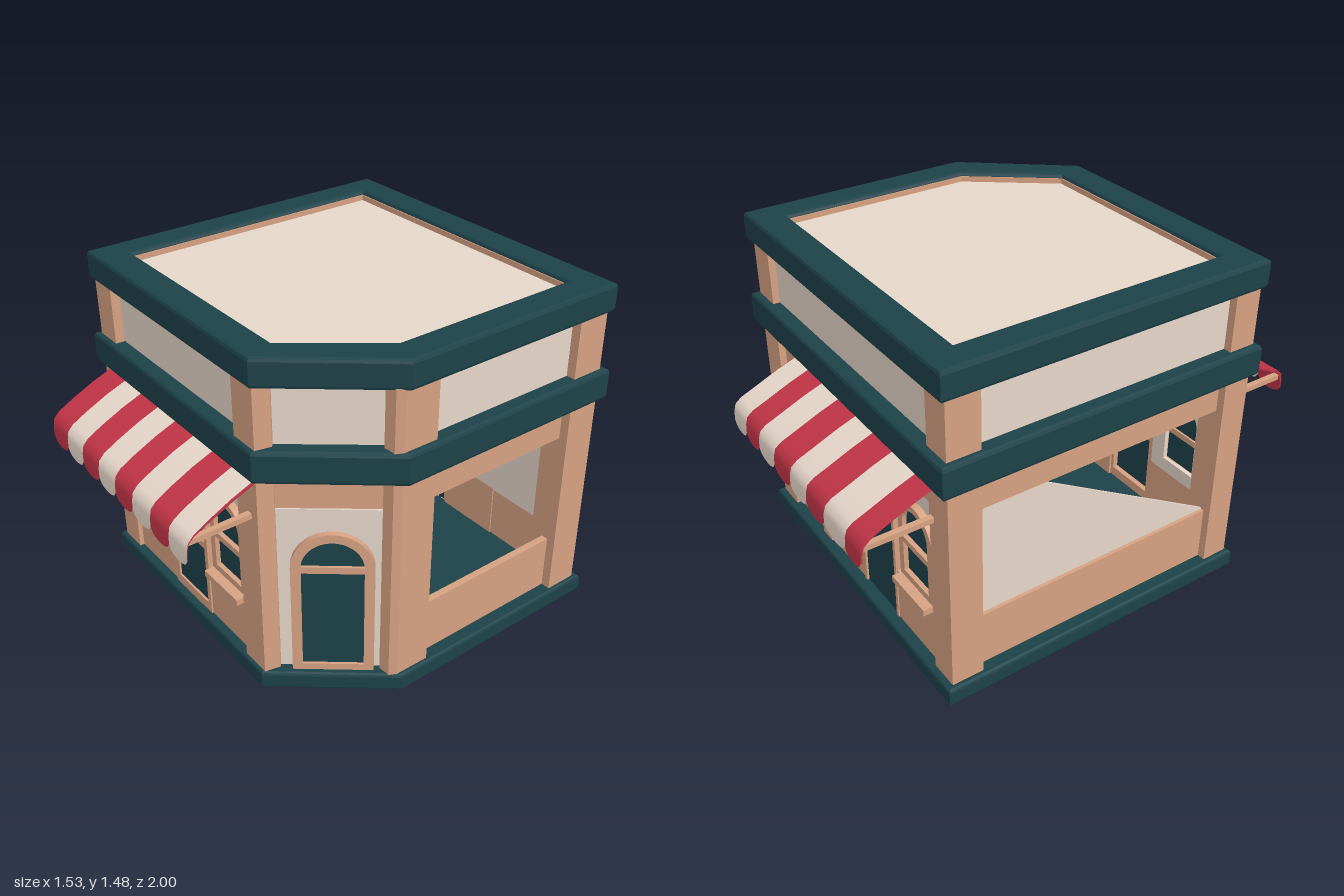
import * as THREE from 'three';

const material = (name, color, side = THREE.FrontSide) => {
  const m = new THREE.MeshStandardMaterial({ color, side });
  m.name = name;
  return m;
};

export function createModel() {
  const teal = material('dark teal', 0x1d4249);
  const wood = material('warm tan', 0xd6a182);
  const cream = material('cream', 0xe6d6c9, THREE.DoubleSide);
  const red = material('awning red', 0xc03446, THREE.DoubleSide);
  const model = new THREE.Group();
  model.name = 'cornerShop';

  const add = (parent, name, geometry, mat) => {
    const mesh = new THREE.Mesh(geometry, mat);
    mesh.name = name;
    parent.add(mesh);
    return mesh;
  };
  // Box given by its limits on each axis
  const block = (parent, name, mat, x0, x1, y0, y1, z0, z1) =>
    add(parent, name, new THREE.BoxGeometry(x1 - x0, y1 - y0, z1 - z0), mat)
      .position.set((x0 + x1) / 2, (y0 + y1) / 2, (z0 + z1) / 2);

  // Floor plan with one cut corner, inset by d
  const outline = d => [
    [-0.76 + d, 0.72 - d], [0.41 - 0.41 * d, 0.72 - d], [0.76 - d, 0.29 - 0.41 * d],
    [0.76 - d, -0.73 + d], [-0.76 + d, -0.73 + d],
  ];
  const toPoints = plan => plan.map(([x, z]) => new THREE.Vector2(x, -z));
  // Upright prism over a plan, with an optional hole and rounded edges
  const prism = (name, mat, plan, y0, y1, bevel = 0, hole = null) => {
    const shape = new THREE.Shape(toPoints(plan));
    if (hole) shape.holes.push(new THREE.Path(toPoints(hole).reverse()));
    const g = new THREE.ExtrudeGeometry(shape, {
      depth: y1 - y0 - 2 * bevel, bevelEnabled: bevel > 0, bevelSize: bevel,
      bevelThickness: bevel, bevelOffset: -bevel, bevelSegments: 2,
    });
    g.rotateX(-Math.PI / 2).translate(0, y0 + bevel, 0);
    return add(model, name, g, mat);
  };

  // Horizontal bands, roof and upper storey
  prism('base', teal, outline(0), 0, 0.08, 0.012);
  prism('middleBand', teal, outline(-0.003), 0.98, 1.115, 0.015);
  prism('roofRim', teal, outline(0.006), 1.36, 1.48, 0.015, outline(0.139));
  prism('roofRimLining', wood, outline(0.13), 1.4, 1.463, 0, outline(0.144));
  prism('roof', cream, outline(0.12), 1.41, 1.44);
  prism('upperWalls', cream, outline(0.06), 1.1, 1.4);
  prism('lintel', wood, outline(0.06), 0.83, 0.99, 0, outline(0.1));

  // Corner pillars through both storeys
  const pillars = [
    [[-0.735, 0.7], [-0.61, 0.7], [-0.61, 0.58], [-0.735, 0.58]],
    [[-0.735, -0.7], [-0.61, -0.7], [-0.61, -0.56], [-0.735, -0.56]],
    [[0.74, -0.7], [0.61, -0.7], [0.61, -0.555], [0.74, -0.555]],
    [[0.28, 0.705], [0.41, 0.705], [0.425, 0.64], [0.36, 0.58], [0.28, 0.58]],
    [[0.74, 0.15], [0.738, 0.3], [0.72, 0.33], [0.67, 0.335], [0.63, 0.26], [0.63, 0.15]],
  ];
  pillars.forEach(plan => prism('pillar', wood, plan, 0.07, 1.37));

  // Side walls with open windows
  block(model, 'rightLowWall', wood, 0.67, 0.7, 0.07, 0.325, -0.58, 0.18);
  block(model, 'leftLowWall', wood, -0.7, -0.67, 0.07, 0.325, -0.58, 0.6);
  const pane = new THREE.ExtrudeGeometry(new THREE.Shape([[-0.58, 0.325], [0.59, 0.325],
    [-0.28, 0.835], [-0.58, 0.835]].map(p => new THREE.Vector2(-p[0], p[1]))),
  { depth: 0.008, bevelEnabled: false });
  add(model, 'leftPane', pane.rotateY(Math.PI / 2).translate(-0.685, 0, 0), cream);

  // Narrow bay at the back
  block(model, 'backBayWall', cream, 0.27, 0.62, 0.32, 0.84, -0.655, -0.635);
  block(model, 'backBayLowWall', wood, 0.27, 0.62, 0.07, 0.325, -0.675, -0.64);
  block(model, 'backPost', wood, 0.28, 0.36, 0.07, 0.47, -0.69, -0.64);

  // Round-topped and rectangular outlines for openings
  const trace = (path, cx, half, y0, y1, arched) => {
    const spring = arched ? y1 - half : y1;
    path.moveTo(cx - half, y0);
    path.lineTo(cx + half, y0);
    path.lineTo(cx + half, spring);
    if (arched) path.absarc(cx, spring, half, 0, Math.PI, false);
    else path.lineTo(cx - half, y1);
    path.lineTo(cx - half, y0);
    return path;
  };
  // Upright plate; each outline is [cx, half, y0, y1, arched]
  const plate = (parent, name, mat, outer, holes, z, depth) => {
    const shape = trace(new THREE.Shape(), ...outer);
    holes.forEach(h => shape.holes.push(trace(new THREE.Path(), ...h)));
    const g = new THREE.ExtrudeGeometry(shape, { depth, bevelEnabled: false, curveSegments: 16 });
    add(parent, name, g.translate(0, 0, z), mat);
  };

  // Shop front: door between two arched windows, facing local +z
  const shopFront = (name, z, turn, framedDoor) => {
    const front = new THREE.Group();
    front.name = name;
    front.position.set(-0.16, 0, z);
    front.rotation.y = turn;
    model.add(front);
    for (const s of [-1, 1]) {
      const cx = s * 0.305;
      const glass = [cx, 0.09, 0.385, 0.715, true];
      plate(front, 'windowWall', cream, [s * 0.295, 0.155, 0.32, 0.84, false], [glass], 0, 0.02);
      plate(front, 'windowFrame', wood, [cx, 0.122, 0.335, 0.742, true], [glass], 0.015, 0.035);
      plate(front, 'windowGlass', teal, glass, [], 0.022, 0.008);
      block(front, 'windowBar', wood, cx - 0.1, cx + 0.1, 0.527, 0.554, 0.012, 0.05);
      block(front, 'windowSill', wood, cx - 0.118, cx + 0.118, 0.327, 0.355, 0.02, 0.092);
      block(front, 'lowPanel', wood, s * 0.295 - 0.155, s * 0.295 + 0.155, 0.07, 0.325, 0, 0.045);
    }
    block(front, 'overDoor', cream, -0.145, 0.145, 0.73, 0.84, 0, 0.02);
    if (framedDoor) {
      const panes = [[0.008, 0.116, 0.125, 0.408, false], [0.008, 0.116, 0.438, 0.73, false]];
      plate(front, 'doorFrame', wood, [0.005, 0.142, 0.07, 0.752, false], panes, 0.01, 0.042);
      panes.forEach(p => plate(front, 'doorGlass', teal, p, [], 0.035, 0.008));
    } else {
      plate(front, 'doorFrame', wood, [0, 0.142, 0.07, 0.752, false],
        [[0, 0.125, 0.08, 0.735, false]], 0.01, 0.04);
      block(front, 'doorLeaf', teal, -0.128, 0.128, 0.075, 0.738, 0.015, 0.04);
    }
  };
  shopFront('shopFront', 0.635, 0, true);
  shopFront('shopBack', -0.635, Math.PI, false);

  // Arched entrance on the cut corner
  const corner = new THREE.Group();
  corner.name = 'cornerEntrance';
  corner.position.set(0.546, 0, 0.469);
  corner.rotation.y = 0.89;
  model.add(corner);
  const doorHole = [0, 0.12, 0.11, 0.705, true];
  plate(corner, 'cornerWall', cream, [0, 0.22, 0.07, 0.84, false], [doorHole], -0.02, 0.02);
  plate(corner, 'cornerDoorFrame', wood, [0, 0.16, 0.08, 0.742, true], [doorHole], -0.01, 0.035);
  plate(corner, 'cornerDoorGlass', teal, doorHole, [], 0.006, 0.008);
  block(corner, 'cornerDoorBar', wood, -0.125, 0.125, 0.562, 0.592, -0.01, 0.025);

  // Striped awnings with a scalloped hem; profile is [z, y, shear]
  const profile = [[0.69, 0.985, 0], [0.8, 0.943, 0.002], [0.9, 0.897, 0.005],
    [0.965, 0.865, 0.01], [0.99, 0.842, 0.013], [0.998, 0.81, 0.015]];
  const stripe = (x0, width, side) => {
    const n = 10, pos = [], index = [];
    for (let i = 0; i <= n; i++) {
      const u = i / n, x = x0 + u * width;
      profile.forEach(([z, y, shear]) => pos.push(x + shear, y, z * side));
      pos.push(x + 0.016, 0.77 - 0.033 * Math.sqrt(1 - (2 * u - 1) ** 2), side);
    }
    const rows = profile.length + 1;
    for (let i = 0; i < n; i++) for (let j = 0; j < rows - 1; j++) {
      const a = i * rows + j, b = a + 1, c = a + rows, d = c + 1;
      if (side > 0) index.push(a, b, c, b, d, c);
      else index.push(a, c, b, b, c, d);
    }
    const g = new THREE.BufferGeometry();
    g.setAttribute('position', new THREE.Float32BufferAttribute(pos, 3));
    g.setIndex(index);
    g.computeVertexNormals();
    return g;
  };
  // Thin rim that gives the cloth its thickness at each end
  const clothEdge = side => {
    const outer = [...profile.map(([z, y]) => [z - 0.001, y - 0.001]), [0.999, 0.775]];
    const inner = outer.map(([z, y]) => [z - 0.006, y - 0.008]).reverse();
    const shape = new THREE.Shape([...outer, ...inner].map(([z, y]) => new THREE.Vector2(z * side, y)));
    return new THREE.ExtrudeGeometry(shape, { depth: 0.006, bevelEnabled: false })
      .rotateY(-Math.PI / 2);
  };
  const stripeEdges = {
    frontAwning: [-0.672, -0.542, -0.408, -0.272, -0.138, -0.003, 0.132, 0.265, 0.392],
    backAwning: [-0.672, -0.56, -0.4, -0.258, -0.125, 0.015, 0.153, 0.275, 0.392],
  };
  for (const [name, edges] of Object.entries(stripeEdges)) {
    const side = name === 'frontAwning' ? 1 : -1;
    const awning = new THREE.Group();
    awning.name = name;
    model.add(awning);
    for (let i = 0; i < 8; i++) {
      add(awning, 'stripe', stripe(edges[i], edges[i + 1] - edges[i], side), i % 2 ? cream : red);
    }
    for (const x of [-0.65, 0.398]) {
      add(awning, 'clothEdge', clothEdge(side), red).position.x = x;
    }
    for (const x of [-0.63, 0.36]) {
      const bar = new THREE.BoxGeometry(0.025, 0.022, 0.34);
      add(awning, 'supportBar', bar, wood).position.set(x, 0.815, side * 0.822);
    }
  }
  return model;
}
